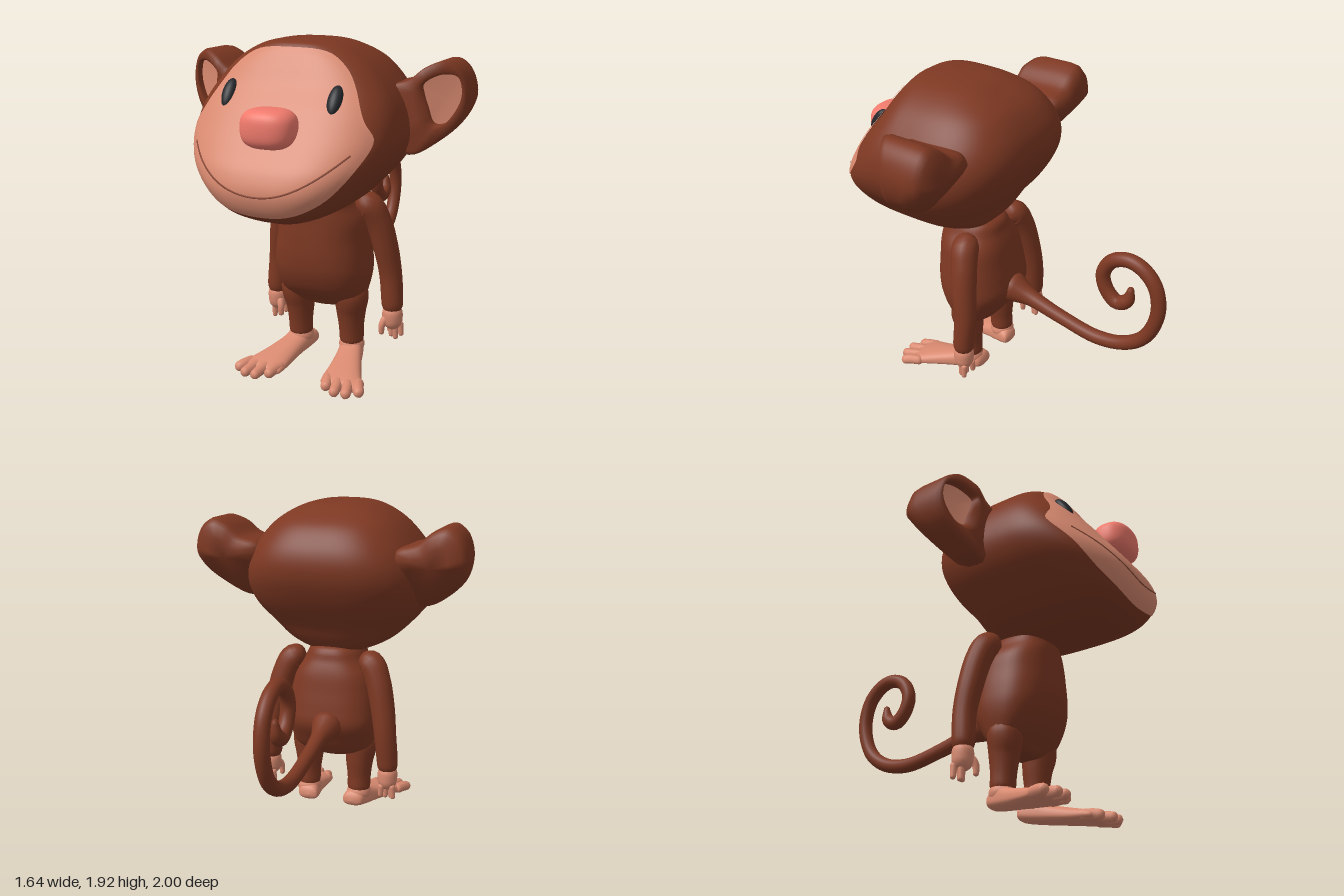
import * as THREE from 'three';
import { mergeVertices } from 'three/addons/utils/BufferGeometryUtils.js';

const mat = (color) => new THREE.MeshStandardMaterial({ color });
const FUR = mat(0x7d3822), SKIN = mat(0xd98a70), NOSE = mat(0xf07a6c), EYE = mat(0x24262a), LIP = mat(0x8a4a38);
const V = (x, y, z) => new THREE.Vector3(x, y, z);

// Smooth interpolation through rows of numbers, t from 0 to rows.length - 1
function spline(rows, t) {
  const n = rows.length - 1, i = Math.min(Math.floor(t), n - 1), f = t - i;
  const [a, b, c, d] = [Math.max(i - 1, 0), i, i + 1, Math.min(i + 2, n)].map((k) => rows[k]);
  return b.map((_, k) => b[k] + 0.5 * f * (c[k] - a[k] + f * (2 * a[k] - 5 * b[k] + 4 * c[k] - d[k]
    + f * (3 * (b[k] - c[k]) + d[k] - a[k]))));
}

// Smooth surface through closed rings of points
function loft(rings) {
  const m = rings[0].length, pos = [], idx = [];
  rings.forEach((ring) => ring.forEach((p) => pos.push(p.x, p.y, p.z)));
  for (let i = 0; i < rings.length - 1; i++) {
    for (let j = 0; j < m; j++) {
      const a = i * m + j, b = a + m, c = i * m + (j + 1) % m, d = c + m;
      idx.push(a, b, c, c, b, d);
    }
  }
  const g = new THREE.BufferGeometry();
  g.setAttribute('position', new THREE.Float32BufferAttribute(pos, 3));
  g.setIndex(idx);
  return smooth(g);
}

function smooth(g) {
  ['uv', 'normal'].forEach((k) => g.deleteAttribute(k));
  const merged = mergeVertices(g, 1e-5);
  merged.computeVertexNormals();
  return merged;
}

// Stack of rounded-box rings; rows are [y, halfWidth, zMiddle, zBack, zFront]
const POW = 3;
function blob(rows, sides = 64, steps = 6, pow = POW) {
  const rings = [], count = (rows.length - 1) * steps;
  const se = (v) => Math.sign(v) * Math.abs(v) ** (2 / pow);
  for (let i = 0; i <= count; i++) {
    const [y, w, zc, zb, zf] = spline(rows, i / steps);
    rings.push(Array.from({ length: sides }, (_, j) => {
      const a = (j / sides) * Math.PI * 2, s = se(Math.sin(a));
      return V(w * se(Math.cos(a)), y, zc + s * (s > 0 ? zf - zc : zc - zb));
    }));
  }
  return loft(rings);
}

// Round-ended tube of changing radius; points are [x, y, z, radius]
function limb(points, segments = 40, sides = 16) {
  const curve = new THREE.CatmullRomCurve3(points.map((p) => V(p[0], p[1], p[2])));
  const g = new THREE.TubeGeometry(curve, segments, 1, sides), pos = g.attributes.position;
  const len = curve.getLength(), v = V(0, 0, 0);
  for (let i = 0; i <= segments; i++) {
    const u = i / segments, c = curve.getPointAt(u);
    let r = spline(points, curve.getUtoTmapping(u) * (points.length - 1))[3];
    const d = Math.min(u, 1 - u) * len;
    if (d < r) r *= Math.sqrt(Math.max(0, 1 - (1 - d / r) ** 2));
    for (let j = 0; j <= sides; j++) {
      const k = i * (sides + 1) + j;
      v.fromBufferAttribute(pos, k).sub(c).multiplyScalar(r).add(c);
      pos.setXYZ(k, v.x, v.y, v.z);
    }
  }
  return smooth(g);
}

function mirrored(geo) {
  const g = geo.clone().scale(-1, 1, 1), ix = g.index.array;
  for (let i = 0; i < ix.length; i += 3) [ix[i], ix[i + 1]] = [ix[i + 1], ix[i]];
  g.computeVertexNormals();
  return g;
}

const HEAD = [
  [1.0, 0, 0.5, 0.5, 0.5], [1.005, 0.11, 0.5, 0.25, 0.74], [1.04, 0.22, 0.5, 0.14, 0.86],
  [1.1, 0.33, 0.48, 0.08, 0.95], [1.2, 0.43, 0.47, 0.02, 0.99], [1.3, 0.51, 0.45, -0.06, 0.965],
  [1.4, 0.55, 0.44, -0.12, 0.9], [1.5, 0.55, 0.43, -0.16, 0.83], [1.6, 0.52, 0.42, -0.165, 0.76],
  [1.7, 0.46, 0.41, -0.13, 0.68], [1.8, 0.37, 0.4, -0.05, 0.62], [1.87, 0.26, 0.4, 0.08, 0.575],
  [1.905, 0.15, 0.4, 0.2, 0.53], [1.92, 0, 0.4, 0.4, 0.4],
];

// Point on the front of the head at (x, y), lifted a little
function onFace(x, y, lift) {
  let lo = 0, hi = HEAD.length - 1;
  for (let i = 0; i < 30; i++) {
    const mid = (lo + hi) / 2;
    if (spline(HEAD, mid)[0] < y) lo = mid; else hi = mid;
  }
  const [, w, zc, , zf] = spline(HEAD, lo);
  const cx = THREE.MathUtils.clamp(x, -0.95 * w, 0.95 * w);
  return V(cx, y, zc + (zf - zc) * (1 - Math.abs(cx / w) ** POW) ** (1 / POW) + lift);
}

function faceGeometry() {
  const half = [[0, 1.88], [0.2, 1.862], [0.31, 1.79], [0.37, 1.71], [0.45, 1.56], [0.505, 1.465],
    [0.45, 1.33], [0.33, 1.19], [0.18, 1.11], [0, 1.085]];
  const all = [...half, ...half.slice(1, -1).reverse().map(([x, y]) => [-x, y])];
  const outline = new THREE.CatmullRomCurve3(all.map(([x, y]) => V(x, y, 0)), true);
  const rings = [];
  for (let i = 0; i <= 24; i++) {
    const s = 1 - i / 24;
    rings.push(Array.from({ length: 96 }, (_, j) => {
      const p = outline.getPoint(j / 96);
      return onFace(p.x * s, 1.48 + (p.y - 1.48) * s, 0.008);
    }));
  }
  return loft(rings);
}

// Cupped ear: [fur, inner skin]
function earGeometries() {
  const ring = (pts) => {
    const c = new THREE.CatmullRomCurve3(pts.map(([x, y]) => V(x, y, 0)), true);
    return Array.from({ length: 50 }, (_, j) => c.getPoint(j / 50));
  };
  const outer = ring([[0.4, 1.66], [0.53, 1.71], [0.62, 1.78], [0.71, 1.81], [0.78, 1.76], [0.82, 1.64],
    [0.79, 1.51], [0.69, 1.4], [0.54, 1.32], [0.4, 1.4]]);
  const inner = ring([[0.61, 1.64], [0.605, 1.69], [0.65, 1.725], [0.71, 1.745], [0.77, 1.73], [0.79, 1.64],
    [0.765, 1.56], [0.71, 1.49], [0.66, 1.49], [0.63, 1.57]]);
  const front = (x) => 0.34 - Math.max(0, x - 0.6) * 0.5;
  const back = (s, z) => outer.map((p) => {
    const x = 0.62 + (p.x - 0.62) * s, y = 1.58 + (p.y - 1.58) * s;
    return V(x, y, z + Math.max(0, 1.6 - y) * 0.7);
  });
  const rim = (pts, dz) => pts.map((p) => V(p.x, p.y, front(p.x) + dz));
  const middle = inner.map(() => V(0.7, 1.62, front(0.7) - 0.06));
  const floor = rim(inner, -0.05);
  return [
    loft([back(0, -0.035), back(0.5, -0.035), back(0.85, -0.02), back(0.97, 0.02), back(1, 0.07),
      rim(outer, -0.03), rim(outer.map((p, j) => p.clone().lerp(inner[j], 0.15)), 0),
      rim(outer.map((p, j) => p.clone().lerp(inner[j], 0.8)), 0), rim(inner, -0.01), floor]),
    loft([floor, middle]),
  ];
}

function footGeometry() {
  // rows run from heel to toes, then are laid down and splayed outwards
  const g = blob([
    [0.095, 0, -0.09, -0.09, -0.09], [0.105, 0.05, -0.09, -0.125, -0.065], [0.13, 0.066, -0.09, -0.15, -0.052],
    [0.2, 0.074, -0.08, -0.165, -0.04], [0.28, 0.08, -0.07, -0.135, -0.03], [0.4, 0.1, -0.05, -0.105, -0.018],
    [0.5, 0.12, -0.04, -0.08, -0.01], [0.55, 0.11, -0.035, -0.06, -0.012], [0.56, 0, -0.035, -0.035, -0.035],
  ], 32, 4, 2.4).rotateX(Math.PI / 2);
  const p = g.attributes.position;
  for (let i = 0; i < p.count; i++) p.setX(i, p.getX(i) + 0.165 + (p.getZ(i) - 0.19) * 0.25);
  g.computeVertexNormals();
  return g;
}

export function createModel() {
  const model = new THREE.Group();
  const add = (name, geo, material) => {
    const m = new THREE.Mesh(geo, material);
    m.name = name;
    model.add(m);
    return m;
  };
  const pair = (name, geo, material) => {
    add('left' + name, geo, material);
    add('right' + name, mirrored(geo), material);
  };

  // Head and face
  add('head', blob(HEAD, 96), FUR);
  add('face', faceGeometry(), SKIN);
  const smile = Array.from({ length: 17 }, (_, i) => (i / 8 - 1) * 0.43).map((x) => onFace(x, 1.2 + 1.13 * x * x, 0.007));
  add('mouth', new THREE.TubeGeometry(new THREE.CatmullRomCurve3(smile), 64, 0.005, 6), LIP);
  const nose = blob([[-1, 0, 0, 0, 0], [-0.93, 0.6, 0, -0.6, 0.6], [-0.6, 0.92, 0, -0.92, 0.92], [0, 1, 0, -1, 1],
    [0.6, 0.92, 0, -0.92, 0.92], [0.93, 0.6, 0, -0.6, 0.6], [1, 0, 0, 0, 0]], 40, 5, 2.4).scale(0.147, 0.1, 0.11);
  nose.computeVertexNormals();
  add('nose', nose, NOSE).position.set(0.015, 1.515, 0.85);
  pair('Eye', new THREE.SphereGeometry(1, 24, 16).scale(0.038, 0.083, 0.032).rotateX(-0.6).translate(0.297, 1.645, 0.7), EYE);
  const [ear, earSkin] = earGeometries();
  pair('Ear', ear, FUR);
  pair('InnerEar', earSkin, SKIN);

  // Torso
  add('body', blob([
    [0.37, 0, 0.2, 0.2, 0.2], [0.38, 0.1, 0.2, 0.12, 0.27], [0.42, 0.23, 0.2, 0.08, 0.31], [0.5, 0.265, 0.2, 0.03, 0.38],
    [0.6, 0.28, 0.2, -0.02, 0.425], [0.7, 0.275, 0.2, -0.01, 0.44], [0.8, 0.26, 0.2, 0.01, 0.44],
    [0.9, 0.24, 0.22, 0.03, 0.435], [0.98, 0.19, 0.25, 0.06, 0.43], [1.06, 0.14, 0.28, 0.1, 0.4], [1.1, 0, 0.28, 0.28, 0.28],
  ], 48, 5, 2.5), FUR);

  // Curled tail
  const tail = [[0.62, 0.06, 0.12], [0.59, -0.06, 0.075], [0.57, -0.15, 0.05], [0.52, -0.35, 0.042], [0.48, -0.6, 0.042],
    [0.52, -0.78, 0.042], [0.62, -0.9, 0.042], [0.8, -0.96, 0.042], [0.96, -0.93, 0.042], [1.045, -0.85, 0.042],
    [1.07, -0.76, 0.042], [1.03, -0.66, 0.042], [0.93, -0.61, 0.042], [0.83, -0.64, 0.042], [0.775, -0.71, 0.042],
    [0.81, -0.77, 0.04], [0.91, -0.79, 0.015]];
  add('tail', limb(tail.map(([y, z, r]) => [-0.02, y, z, r]), 140), FUR);

  // Arms and hands
  pair('Arm', limb([[0.17, 0.98, 0.17, 0.07], [0.245, 0.97, 0.15, 0.08], [0.295, 0.88, 0.125, 0.076], [0.335, 0.72, 0.1, 0.072],
    [0.36, 0.55, 0.08, 0.066], [0.375, 0.38, 0.085, 0.063], [0.377, 0.31, 0.085, 0.055]], 50), FUR);
  pair('Palm', limb([[0.377, 0.38, 0.085, 0.05], [0.377, 0.31, 0.085, 0.06], [0.38, 0.215, 0.08, 0.054]], 24), SKIN);
  [[0.422, 0.165, 0.055], [0.4, 0.155, 0.09], [0.368, 0.16, 0.075], [0.345, 0.175, 0.045]].forEach(([x, y, z], i) =>
    pair('Finger' + (i + 1), limb([[0.38 + (x - 0.38) * 0.8, 0.26, z, 0.02], [x, y, z, 0.015]], 16, 10), SKIN));
  pair('Thumb', limb([[0.35, 0.3, 0.11, 0.024], [0.332, 0.25, 0.135, 0.02], [0.33, 0.19, 0.135, 0.015]], 18, 10), SKIN);

  // Legs and feet
  pair('Leg', limb([[0.165, 0.54, 0.21, 0.1], [0.17, 0.43, 0.21, 0.1], [0.165, 0.34, 0.2, 0.086], [0.165, 0.24, 0.195, 0.073],
    [0.165, 0.16, 0.19, 0.07], [0.165, 0.1, 0.19, 0.06]], 40), FUR);
  pair('Ankle', limb([[0.165, 0.2, 0.19, 0.068], [0.165, 0.13, 0.188, 0.075], [0.165, 0.055, 0.185, 0.07]], 24), SKIN);
  pair('Foot', footGeometry(), SKIN);
  [0.6, 0.64, 0.635, 0.59].forEach((z, i) => {
    const off = (i - 1.5) * 0.062, x = 0.265 + off;
    pair('Toe' + (i + 1), limb([[x - 0.03, 0.045, 0.46, 0.03], [x, 0.042, 0.54, 0.032], [x + 0.02 + off * 0.12, 0.03, z, 0.028]], 20, 12), SKIN);
  });
  return model;
}
